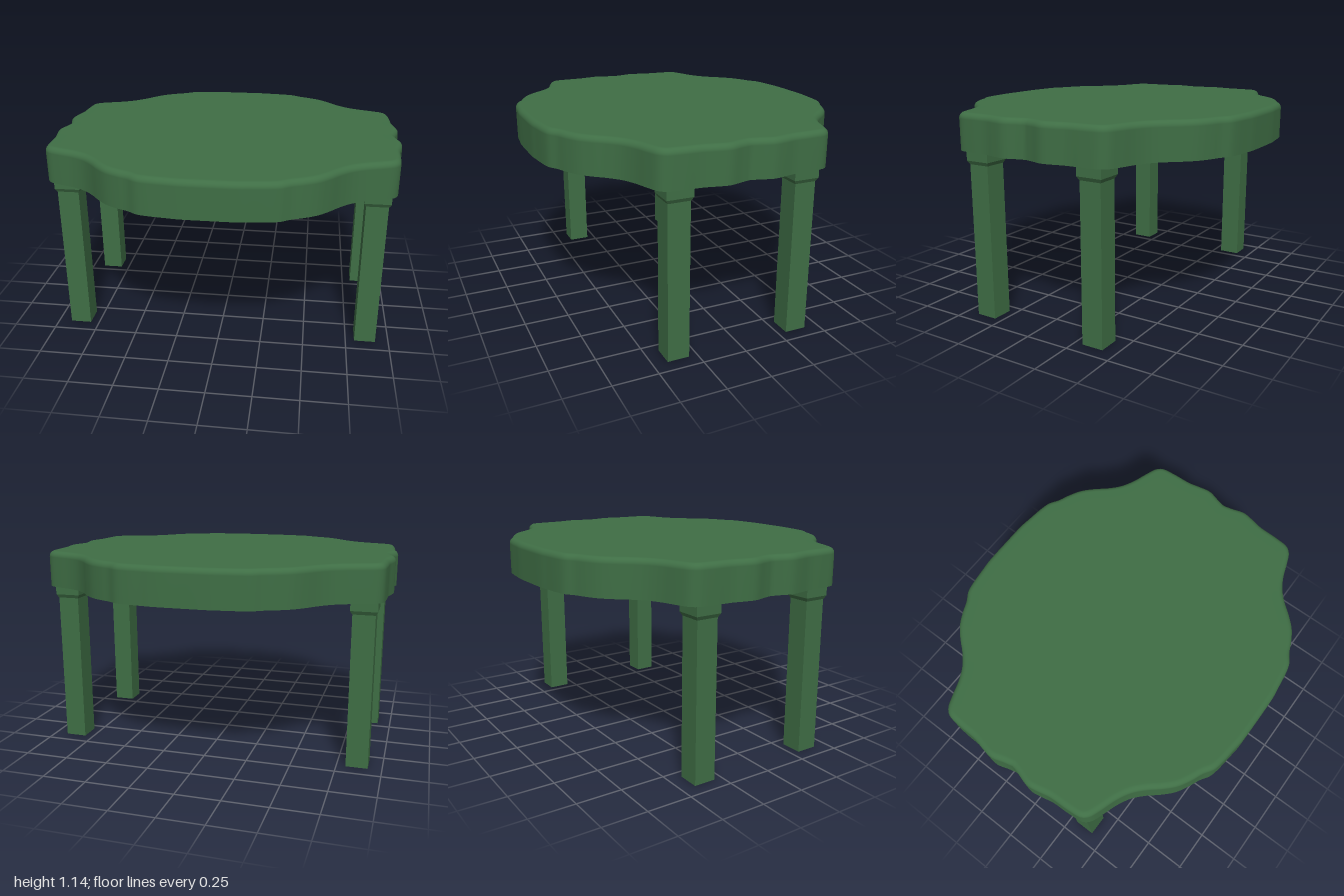
import * as THREE from 'three';

const BOTTOM = 0.94, TOP = 1.145, ROUND = 0.033;

// One quarter of the wavy table edge as [x, z], from the side notch to the middle of the front
const QUARTER = [
  [0.965, 0], [0.977, 0.05], [0.996, 0.12], [0.986, 0.19], [0.973, 0.25], [0.968, 0.36],
  [0.957, 0.44], [0.93, 0.472], [0.87, 0.498], [0.78, 0.53], [0.71, 0.568], [0.65, 0.622],
  [0.6, 0.68], [0.54, 0.737], [0.47, 0.777], [0.41, 0.803], [0.36, 0.835], [0.31, 0.848],
  [0.2, 0.862], [0.15, 0.868], [0, 0.87],
];

// Full outline: a smooth front half with a cusp at each side notch, repeated for the back
function makeOutline() {
  const mirrored = QUARTER.slice(0, -1).reverse().map(([x, z]) => [-x, z]);
  const half = [...QUARTER, ...mirrored].map(([x, z]) => new THREE.Vector3(x, 0, z));
  const front = new THREE.CatmullRomCurve3(half, false, 'centripetal').getSpacedPoints(160).slice(0, -1);
  return [...front, ...front.map((p) => new THREE.Vector3(-p.x, 0, -p.z))];
}

// Outline moved inwards along its own normals
function insetRing(outline, inset, y) {
  const n = outline.length;
  return outline.map((p, i) => {
    const t = outline[(i + 1) % n].clone().sub(outline[(i + n - 1) % n]).normalize();
    return new THREE.Vector3(p.x - t.z * inset, y, p.z + t.x * inset);
  });
}

// Skin over stacked rings, closed by a fan to a centre point; flip turns the faces over
function skin(rings, flip = false) {
  const n = rings[0].length, index = [];
  const tri = (a, b, c) => index.push(a, ...(flip ? [c, b] : [b, c]));
  for (let r = 0; r < rings.length; r++) {
    for (let i = 0; i < n; i++) {
      const a = r * n + i, b = r * n + (i + 1) % n;
      if (r < rings.length - 1) {
        tri(a, a + n, b);
        tri(b, a + n, b + n);
      } else {
        tri(a, rings.length * n, b);
      }
    }
  }
  const centre = new THREE.Vector3(0, rings[rings.length - 1][0].y, 0);
  const geometry = new THREE.BufferGeometry().setFromPoints([...rings.flat(), centre]);
  geometry.setIndex(index);
  geometry.computeVertexNormals();
  return geometry;
}

export function createModel() {
  const model = new THREE.Group();
  const material = new THREE.MeshStandardMaterial({ color: 0x3f6e45 });
  const faceted = new THREE.MeshStandardMaterial({ color: 0x3f6e45, flatShading: true });

  const add = (parent, name, geometry, mat, y = 0) => {
    const mesh = new THREE.Mesh(geometry, mat);
    mesh.name = name;
    mesh.position.y = y;
    parent.add(mesh);
  };

  // Tabletop: upright edge, rounded upper rim, flat surface
  const outline = makeOutline();
  const rings = [insetRing(outline, 0, BOTTOM)];
  for (let k = 0; k <= 6; k++) {
    const a = (k / 6) * Math.PI / 2;
    rings.push(insetRing(outline, ROUND * (1 - Math.cos(a)), TOP - ROUND * (1 - Math.sin(a))));
  }
  rings.push(rings[rings.length - 1].map((p) => new THREE.Vector3(p.x * 0.95, TOP, p.z * 0.95)));
  const tabletop = new THREE.Group();
  tabletop.name = 'tabletop';
  add(tabletop, 'tabletopSurface', skin(rings), material);
  add(tabletop, 'tabletopUnderside', skin([insetRing(outline, 0, BOTTOM)], true), material);
  model.add(tabletop);

  // Square legs, each with a block capital tapering into the shaft
  for (const [side, sx] of [['left', 1], ['right', -1]]) {
    for (const [end, sz] of [['Front', 1], ['Back', -1]]) {
      const leg = new THREE.Group();
      leg.name = `${side}${end}Leg`;
      leg.position.set(sx * 0.862, 0, sz * 0.358);
      add(leg, 'shaft', new THREE.BoxGeometry(0.122, 0.88, 0.122), material, 0.44);
      const taper = new THREE.CylinderGeometry(0.145 / Math.SQRT2, 0.124 / Math.SQRT2, 0.02, 4);
      taper.rotateY(Math.PI / 4);
      add(leg, 'capitalTaper', taper, faceted, 0.875);
      add(leg, 'capital', new THREE.BoxGeometry(0.145, 0.057, 0.145), material, 0.9135);
      model.add(leg);
    }
  }
  return model;
}
